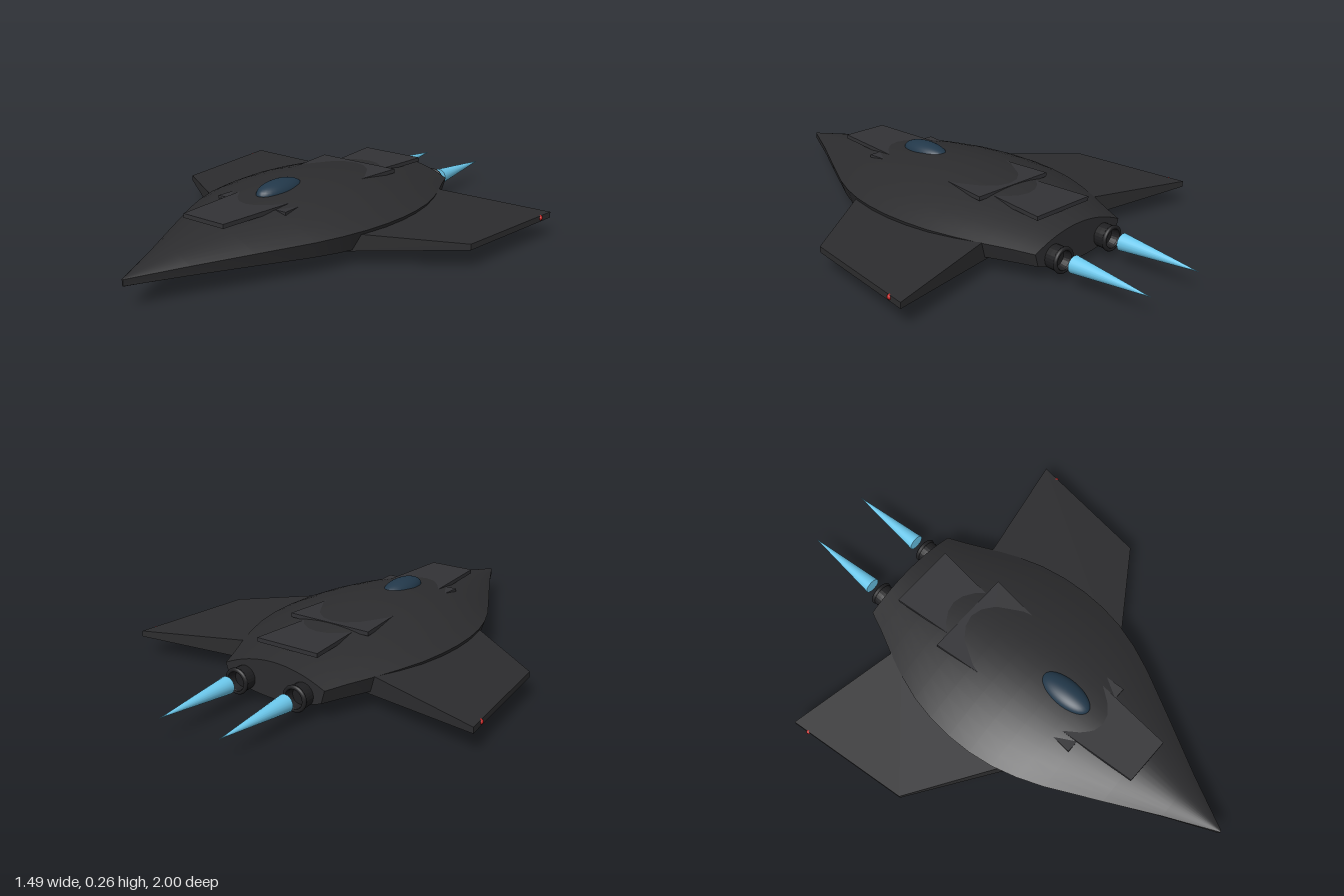
import * as THREE from 'three';

const mat = (color, extra = {}) => new THREE.MeshStandardMaterial({ color, ...extra });

function addMesh(parent, name, geometry, material, x = 0, y = 0, z = 0) {
  const mesh = new THREE.Mesh(geometry, material);
  mesh.name = name;
  mesh.position.set(x, y, z);
  parent.add(mesh);
  return mesh;
}

// Skin over rows of points, smooth inside the patch
function skin(rows) {
  const n = rows[0].length, index = [];
  for (let i = 0; i < rows.length - 1; i++) {
    for (let j = 0; j < n - 1; j++) {
      const a = i * n + j, b = a + 1, c = a + n, d = c + 1;
      index.push(a, c, b, b, c, d);
    }
  }
  const g = new THREE.BufferGeometry();
  g.setAttribute('position', new THREE.Float32BufferAttribute(rows.flat(2), 3));
  g.setIndex(index);
  g.computeVertexNormals();
  return g;
}

// Box whose vertices are moved by a rule taking unit coordinates (0..1)
function shapedBox(rule) {
  const g = new THREE.BoxGeometry(1, 1, 1).toNonIndexed();
  const p = g.attributes.position;
  for (let i = 0; i < p.count; i++) {
    p.setXYZ(i, ...rule(p.getX(i) + 0.5, p.getY(i) + 0.5, p.getZ(i) + 0.5));
  }
  g.computeVertexNormals();
  return g;
}

// Hull stations: z, half width, crown y, upper rim y, lower rim y, keel y
const STATIONS = [
  [1, 0.003, 0.112, 0.11, 0.087, 0.085],
  [0.8, 0.1, 0.152, 0.117, 0.082, 0.064],
  [0.6, 0.205, 0.19, 0.125, 0.077, 0.044],
  [0.4, 0.308, 0.219, 0.132, 0.071, 0.023],
  [0.3, 0.35, 0.23, 0.136, 0.068, 0.015],
  [0.2, 0.38, 0.239, 0.139, 0.066, 0.009],
  [0.1, 0.396, 0.244, 0.14, 0.065, 0.006],
  [0, 0.4, 0.245, 0.14, 0.065, 0.005],
  [-0.1, 0.393, 0.239, 0.139, 0.065, 0.007],
  [-0.2, 0.375, 0.23, 0.137, 0.066, 0.012],
  [-0.3, 0.343, 0.218, 0.134, 0.067, 0.018],
  [-0.4, 0.302, 0.204, 0.13, 0.069, 0.025],
  [-0.5, 0.255, 0.188, 0.126, 0.07, 0.031],
  [-0.58, 0.222, 0.175, 0.122, 0.071, 0.036],
];

function buildHull(material) {
  const hull = new THREE.Group();
  hull.name = 'hull';
  const steps = 16;
  // Parabolic arc from side s across to the other side
  const arc = (z, w, rim, mid, s) => Array.from({ length: steps + 1 }, (_, i) => {
    const u = s * (1 - 2 * i / steps);
    return [u * w, mid + (rim - mid) * u * u, z];
  });
  const upper = STATIONS.map(([z, w, top, rim]) => arc(z, w, rim, top, 1));
  const lower = STATIONS.map(([z, w, , , rim, keel]) => arc(z, w * 0.93, rim, keel, -1));
  addMesh(hull, 'upperHull', skin(upper), material);
  addMesh(hull, 'lowerHull', skin(lower), material);
  addMesh(hull, 'leftHullEdge', skin(lower.map((r, i) => [r[steps], upper[i][0]])), material);
  addMesh(hull, 'rightHullEdge', skin(upper.map((r, i) => [r[steps], lower[i][0]])), material);
  // End caps
  const ring = (i) => [...upper[i], ...lower[i], upper[i][0]];
  const last = STATIONS.length - 1;
  const collapsed = (i, y) => ring(i).map(() => [0, y, STATIONS[i][0]]);
  addMesh(hull, 'sternPlate', skin([ring(last), collapsed(last, 0.1)]), material);
  addMesh(hull, 'noseEdge', skin([collapsed(0, 0.098), ring(0)]), material);
  return hull;
}

export function createModel() {
  const model = new THREE.Group();
  model.name = 'spacecraft';
  const dark = mat(0x2c2c2e), panel = mat(0x323235), metal = mat(0x1f1f21);
  const glass = mat(0x22384a), flame = mat(0x6cc8ec, { side: THREE.DoubleSide }), red = mat(0xc02020);

  model.add(buildHull(dark));

  // Armour panels: front z, front half width, rear z, rear half width, bottom y
  const panels = {
    nosePanel: [0.635, 0.095, 0.28, 0.122, 0.2],
    collarPanel: [0.39, 0.162, 0.2, 0.15, 0.193],
    middlePanel: [-0.03, 0.153, -0.26, 0.177, 0.209],
    tailPanel: [-0.2, 0.105, -0.505, 0.135, 0.197],
  };
  for (const [name, [zf, wf, zr, wr, y]] of Object.entries(panels)) {
    addMesh(model, name, shapedBox((u, v, t) => [
      (2 * u - 1) * THREE.MathUtils.lerp(wr, wf, t),
      y + v * 0.016,
      THREE.MathUtils.lerp(zr, zf, t),
    ]), panel);
  }

  // Canopy
  const canopy = addMesh(model, 'canopy', new THREE.SphereGeometry(1, 32, 20), glass, 0, 0.225, 0.235);
  canopy.scale.set(0.055, 0.04, 0.115);

  for (const s of [1, -1]) {
    const side = s > 0 ? 'left' : 'right';

    // Swept wing, thinning towards the tip
    addMesh(model, side + 'Wing', shapedBox((u, v, t) => {
      const k = s > 0 ? u : 1 - u;
      const x = THREE.MathUtils.lerp(0.25, t > 0.5 ? 0.69 : 0.745, k);
      const z = t > 0.5 ? 0.3 - 0.29 * k : -0.39 - 0.105 * k;
      const y = v > 0.5 ? 0.135 - 0.033 * k : 0.057 + 0.022 * k;
      return [s * x, y, z];
    }), dark);
    addMesh(model, side + 'WingLight', new THREE.SphereGeometry(0.01, 12, 8), red, s * 0.735, 0.093, -0.43);

    // Engine nozzle with a rolled lip
    const engine = new THREE.Group();
    engine.name = side + 'Engine';
    engine.position.set(s * 0.13, 0.088, 0);
    model.add(engine);
    const profile = [[0, 0.4], [0.04, 0.4], [0.045, 0.6], [0.045, 0.63], [0.036, 0.632], [0.03, 0.6], [0, 0.6]];
    const nozzle = new THREE.LatheGeometry(profile.map(([r, y]) => new THREE.Vector2(r, y)), 24);
    nozzle.rotateX(-Math.PI / 2);
    addMesh(engine, 'nozzle', nozzle, mat(0x1f1f21, { side: THREE.DoubleSide, flatShading: true }));
    addMesh(engine, 'nozzleLip', new THREE.TorusGeometry(0.042, 0.008, 10, 28), metal, 0, 0, -0.626);

    // Exhaust flame
    const cone = new THREE.ConeGeometry(0.033, 0.325, 20);
    cone.rotateX(-Math.PI / 2);
    addMesh(engine, 'exhaustFlame', cone, flame, 0, 0.002, -0.8375);
  }
  return model;
}
